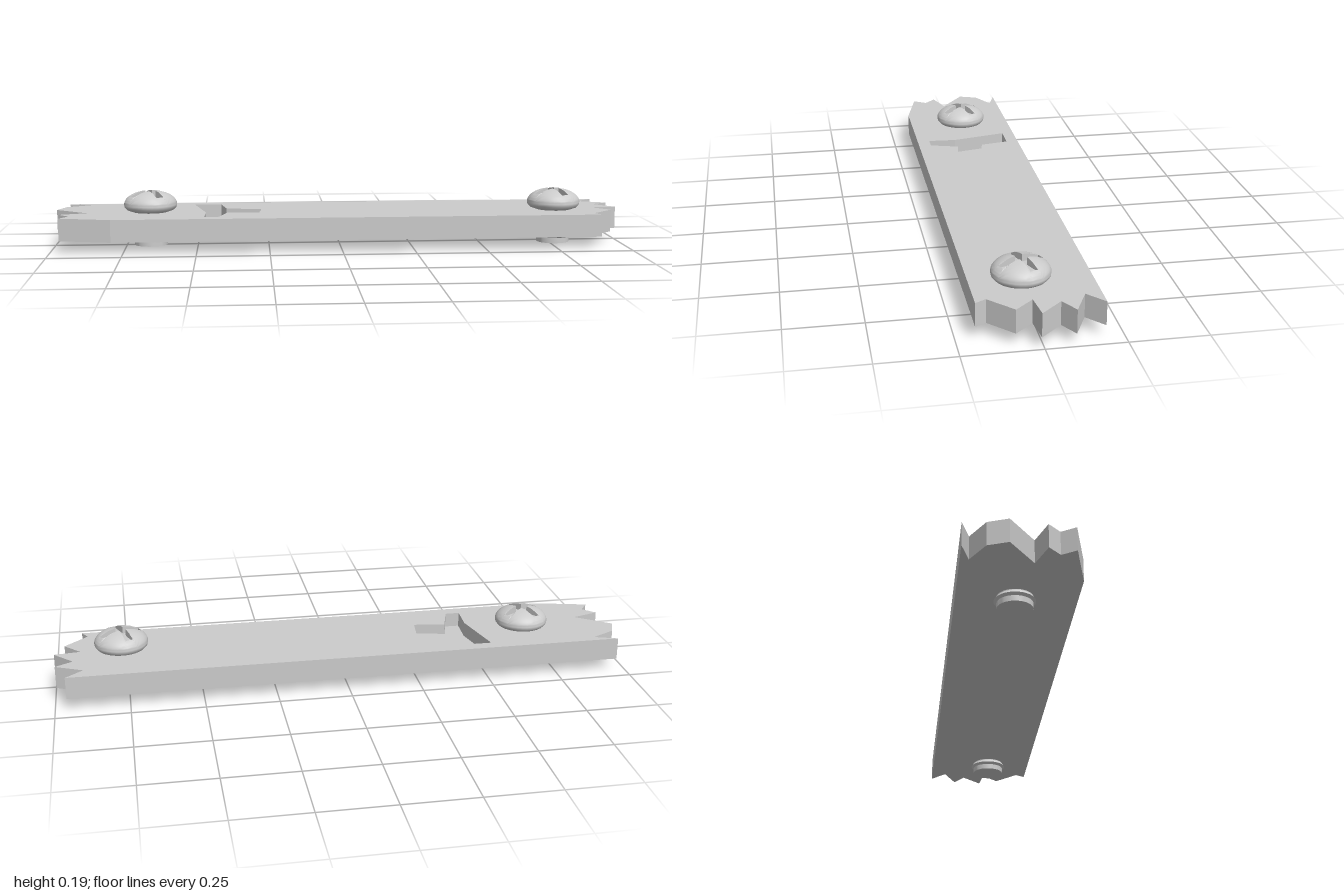
import * as THREE from 'three';
import { toCreasedNormals } from 'three/addons/utils/BufferGeometryUtils.js';

const material = new THREE.MeshStandardMaterial({ color: 0xcccccc });
const TOP = 0.118, BOTTOM = 0.04, RECESS_FLOOR = 0.067;

// Plan outlines as [x, z]
const plankOutline = [
  [-0.79, 0.19], [-0.97, 0.145], [-0.94, 0.1], [-0.98, 0.06], [-0.885, 0.03], [-1, -0.055],
  [-0.975, -0.12], [-0.89, -0.165], [-0.97, -0.192], [0.96, -0.192], [0.9, -0.14], [0.995, -0.095],
  [0.935, -0.06], [1, 0.01], [0.91, 0.02], [0.965, 0.08], [0.885, 0.155], [0.905, 0.19],
];
const recessOutline = [
  [-0.515, -0.15], [-0.42, -0.15], [-0.4, -0.05], [-0.275, -0.02], [-0.285, 0.06],
  [-0.395, 0.045], [-0.425, 0.145], [-0.475, 0.145], [-0.47, 0.045],
];
const toPoints = (list) => list.map(([x, z]) => new THREE.Vector2(x, z));

function addMesh(parent, name, geometry) {
  const mesh = new THREE.Mesh(geometry, material);
  mesh.name = name;
  parent.add(mesh);
  return mesh;
}

// Horizontal slab between two heights, with an optional hole
function slab(y0, y1, hole) {
  const shape = new THREE.Shape(toPoints(plankOutline));
  if (hole) shape.holes.push(new THREE.Path(toPoints(hole)));
  return new THREE.ExtrudeGeometry(shape, { depth: y1 - y0, bevelEnabled: false })
    .rotateX(Math.PI / 2).translate(0, y1, 0);
}

// Domed head with a cross slot: rings run from the underside over the dome and into the slot
function screwHeadGeometry() {
  const R = 0.093, rimY = 0.143, domeH = 0.049, slotFloor = 0.166;
  const halfWidth = 0.013, armLength = 0.072, steps = 10;
  const armEnd = Math.atan2(halfWidth, armLength), quarter = Math.PI / 4;
  const side = [armEnd, 0.3, 0.42, 0.6];
  const local = [-quarter, ...side.slice().reverse().map((a) => -a), 0, ...side];

  const columns = [];
  for (let arm = 0; arm < 4; arm++) {
    for (const b of local) {
      const slotR = Math.abs(b) <= armEnd
        ? armLength / Math.cos(b)
        : halfWidth / Math.sin(Math.abs(b));
      const column = [[0.064, TOP], [0.083, 0.125], [0.091, 0.134]];
      const end = Math.acos(slotR / R);
      for (let i = 0; i <= steps; i++) {
        const t = (end * i) / steps;
        column.push([R * Math.cos(t), rimY + domeH * Math.sin(t)]);
      }
      column.push([slotR, slotFloor], [0, slotFloor]);
      columns.push({ angle: arm * Math.PI / 2 + b, column });
    }
  }

  const positions = [], index = [];
  const rings = columns[0].column.length;
  columns.forEach(({ angle, column }, j) => {
    const next = (j + 1) % columns.length;
    column.forEach(([r, y], i) => {
      positions.push(r * Math.cos(angle), y, r * Math.sin(angle));
      if (i === rings - 1) return;
      const a = j * rings + i, b = next * rings + i;
      index.push(a, a + 1, b);
      if (i < rings - 2) index.push(b, a + 1, b + 1);
    });
  });
  const geometry = new THREE.BufferGeometry();
  geometry.setAttribute('position', new THREE.Float32BufferAttribute(positions, 3));
  geometry.setIndex(index);
  return toCreasedNormals(geometry, 0.6);
}

// Shank end with a flared thread ridge, seen below the plank
function screwShankGeometry() {
  const profile = [[0, 0], [0.058, 0], [0.058, 0.019], [0.066, 0.027], [0.059, 0.037], [0.059, 0.06]];
  return toCreasedNormals(new THREE.LatheGeometry(toPoints(profile), 40), 0.5);
}

export function createModel() {
  const model = new THREE.Group();
  model.name = 'brokenPlank';

  // Plank: solid lower layer and an upper layer pierced by the recess
  const plank = new THREE.Group();
  plank.name = 'plank';
  addMesh(plank, 'plankBase', slab(BOTTOM, RECESS_FLOOR));
  addMesh(plank, 'plankTopWithRecess', slab(RECESS_FLOOR, TOP, recessOutline));
  model.add(plank);

  // Screws
  const head = screwHeadGeometry(), shank = screwShankGeometry();
  const screws = [['rightScrew', -0.666, -0.007, 0.55], ['leftScrew', 0.768, 0.028, 0.4]];
  for (const [name, x, z, turn] of screws) {
    const screw = new THREE.Group();
    screw.name = name;
    screw.position.set(x, 0, z);
    screw.rotation.y = turn;
    addMesh(screw, 'screwHead', head);
    addMesh(screw, 'screwShank', shank);
    model.add(screw);
  }
  return model;
}
